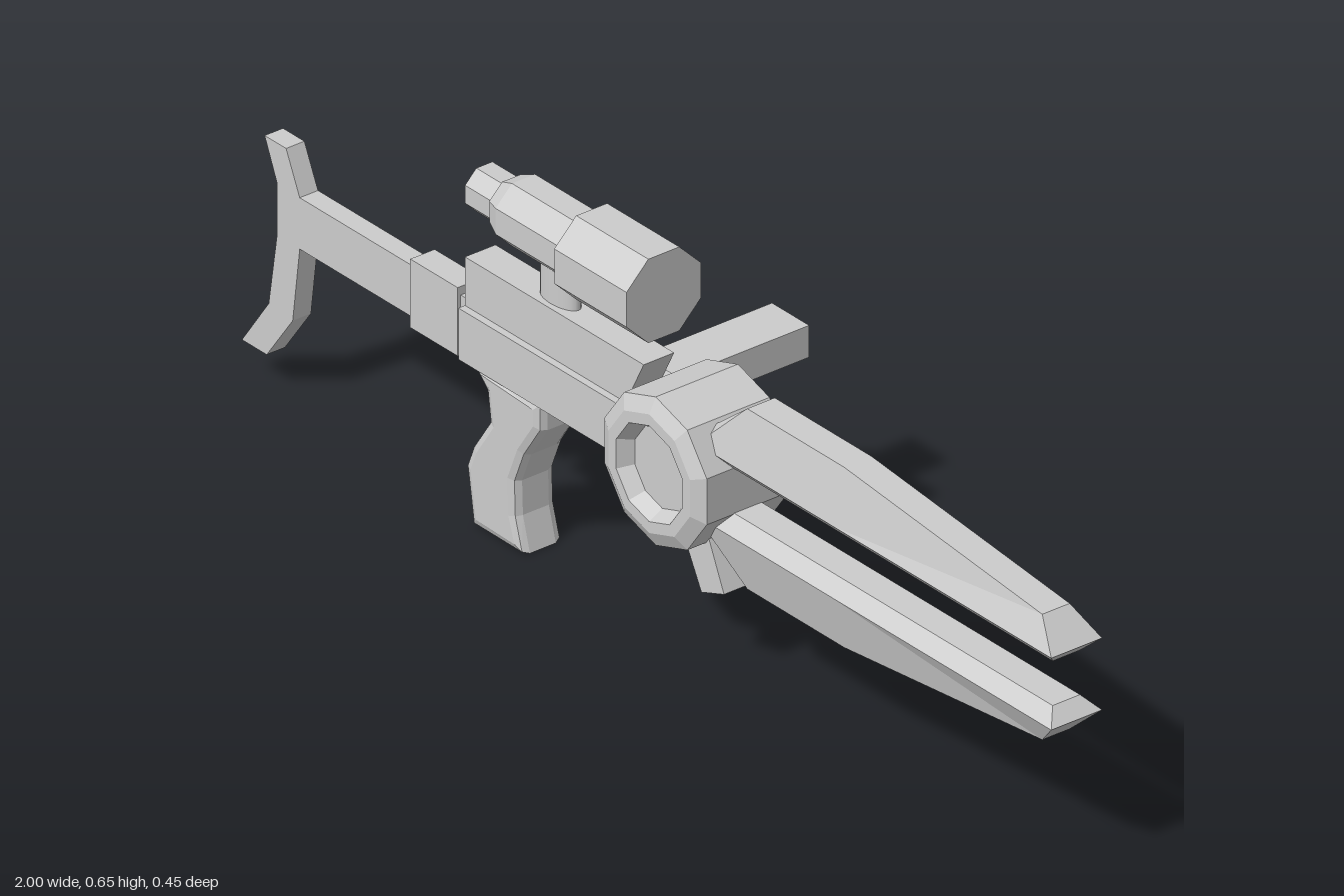
import * as THREE from 'three';

const mat = new THREE.MeshStandardMaterial({ color: 0xcccccc, flatShading: true, side: THREE.DoubleSide });
const smooth = new THREE.MeshStandardMaterial({ color: 0xcccccc });
const MID = 0.327; // height of the drum axis

function add(parent, name, geo, material = mat) {
  const mesh = new THREE.Mesh(geo, material);
  mesh.name = name;
  parent.add(mesh);
  return mesh;
}

// Box given by its limits
function box(parent, name, x0, x1, y0, y1, z0, z1) {
  const m = add(parent, name, new THREE.BoxGeometry(x1 - x0, y1 - y0, z1 - z0));
  m.position.set((x0 + x1) / 2, (y0 + y1) / 2, (z0 + z1) / 2);
  return m;
}

// Side outline given a thickness, centred on the z plane of the gun
function plate(parent, name, pts, width, bevel = 0) {
  const shape = new THREE.Shape(pts.map(p => new THREE.Vector2(p[0], p[1])));
  const depth = width - 2 * bevel;
  const geo = new THREE.ExtrudeGeometry(shape, {
    depth, bevelEnabled: bevel > 0, bevelSize: bevel, bevelThickness: bevel,
    bevelOffset: -bevel, bevelSegments: 2,
  });
  geo.translate(0, 0, -depth / 2);
  return add(parent, name, geo);
}

// Blade lofted through hexagonal sections: top, middle and bottom edge points
function bladeGeometry(sign) {
  const half = [0.027, 0.05, 0.027];
  const stations = [
    [[0.14, 0.41], [0.14, 0.39], [0.14, 0.366]],
    [[0.235, 0.485], [0.245, 0.39], [0.245, 0.366]],
    [[0.47, 0.485], [0.47, 0.39], [0.47, 0.366]],
    [[0.95, 0.437], [1, 0.39], [0.975, 0.366]],
  ];
  const pos = [], idx = [];
  for (const s of stations) {
    for (const [k, side] of [[0, 1], [1, 1], [2, 1], [2, -1], [1, -1], [0, -1]]) {
      pos.push(s[k][0], MID + sign * (s[k][1] - MID), side * half[k]);
    }
  }
  const tri = (a, b, c) => (sign > 0 ? idx.push(a, b, c) : idx.push(a, c, b));
  for (let i = 0; i < stations.length - 1; i++) {
    for (let j = 0; j < 6; j++) {
      const a = i * 6 + j, b = i * 6 + (j + 1) % 6;
      tri(a, b, a + 6);
      tri(b, b + 6, a + 6);
    }
  }
  // End caps: the front one folds along the widest edge
  for (const [base, f] of [[0, false], [18, true]]) {
    for (const [a, b, c] of [[0, 1, 4], [0, 4, 5], [1, 2, 3], [1, 3, 4]]) {
      if (f) tri(base + a, base + b, base + c);
      else tri(base + a, base + c, base + b);
    }
  }
  const geo = new THREE.BufferGeometry();
  geo.setAttribute('position', new THREE.Float32BufferAttribute(pos, 3));
  geo.setIndex(idx);
  geo.computeVertexNormals();
  return geo;
}

export function createModel() {
  const model = new THREE.Group();
  const gun = new THREE.Group();
  gun.name = 'rifle';
  gun.position.z = 0.134;
  model.add(gun);

  // Shoulder stock and its collar
  plate(gun, 'stock', [
    [-0.945, 0.445], [-0.915, 0.375], [-0.915, 0.283], [-0.935, 0.155], [-1, 0.063],
    [-0.94, 0.063], [-0.877, 0.15], [-0.86, 0.283], [-0.44, 0.283], [-0.44, 0.373],
    [-0.86, 0.373], [-0.893, 0.445],
  ], 0.036);
  box(gun, 'stockCollar', -0.585, -0.47, 0.268, 0.388, -0.024, 0.024);

  // Receiver: wide lower body and narrower top with a raked front
  box(gun, 'receiverBody', -0.445, -0.055, 0.28, 0.37, -0.043, 0.043);
  plate(gun, 'receiverTop', [
    [-0.445, 0.365], [-0.058, 0.365], [-0.012, 0.455], [-0.445, 0.455],
  ], 0.06);

  // Pistol grip with softened edges
  plate(gun, 'grip', [
    [-0.415, 0.285], [-0.385, 0.25], [-0.378, 0.2], [-0.418, 0.14], [-0.434, 0.1], [-0.418, 0],
    [-0.293, 0], [-0.31, 0.06], [-0.312, 0.12], [-0.29, 0.175], [-0.25, 0.235], [-0.25, 0.285],
  ], 0.083, 0.016);

  // Side handle reaching backwards
  box(gun, 'handlePlate', -0.2, -0.075, 0.288, 0.362, -0.091, -0.03);
  box(gun, 'sideHandle', -0.18, -0.09, 0.296, 0.352, -0.359, -0.08);

  // Ten-sided drum with chamfered rims and a recess on both faces
  const half = [[0, 0.068], [0.07, 0.068], [0.084, 0.094], [0.104, 0.094], [0.13, 0.081]];
  const profile = [
    ...half.map(([r, h]) => new THREE.Vector2(r, -h)),
    ...half.slice().reverse().map(([r, h]) => new THREE.Vector2(r, h)),
  ];
  const drum = add(gun, 'drum', new THREE.LatheGeometry(profile, 10));
  drum.rotation.x = Math.PI / 2;
  drum.position.set(0.08, MID, 0);

  // Tab under the drum
  plate(gun, 'drumTab', [[0.09, 0.235], [0.145, 0.13], [0.2, 0.15], [0.155, 0.25]], 0.088);

  // Twin blades
  add(gun, 'upperBlade', bladeGeometry(1));
  add(gun, 'lowerBlade', bladeGeometry(-1));

  // Eight-sided scope with a hollow eyepiece
  const oct = 1 / Math.cos(Math.PI / 8);
  const tube = [
    [0, -0.415], [0.025, -0.415], [0.027, -0.435], [0.038, -0.435], [0.038, -0.372], [0.043, -0.37],
    [0.055, -0.34], [0.055, -0.175], [0.0735, -0.175], [0.0735, 0], [0, 0],
  ].map(([r, x]) => new THREE.Vector2(r * oct, x));
  const scopeGeo = new THREE.LatheGeometry(tube, 8, Math.PI / 8);
  scopeGeo.rotateZ(-Math.PI / 2);
  add(gun, 'scope', scopeGeo).position.y = 0.572;

  const mount = add(gun, 'scopeMount', new THREE.CylinderGeometry(1, 1, 0.09, 24), smooth);
  mount.scale.set(0.044, 1, 0.02);
  mount.position.set(-0.25, 0.49, 0);

  return model;
}
